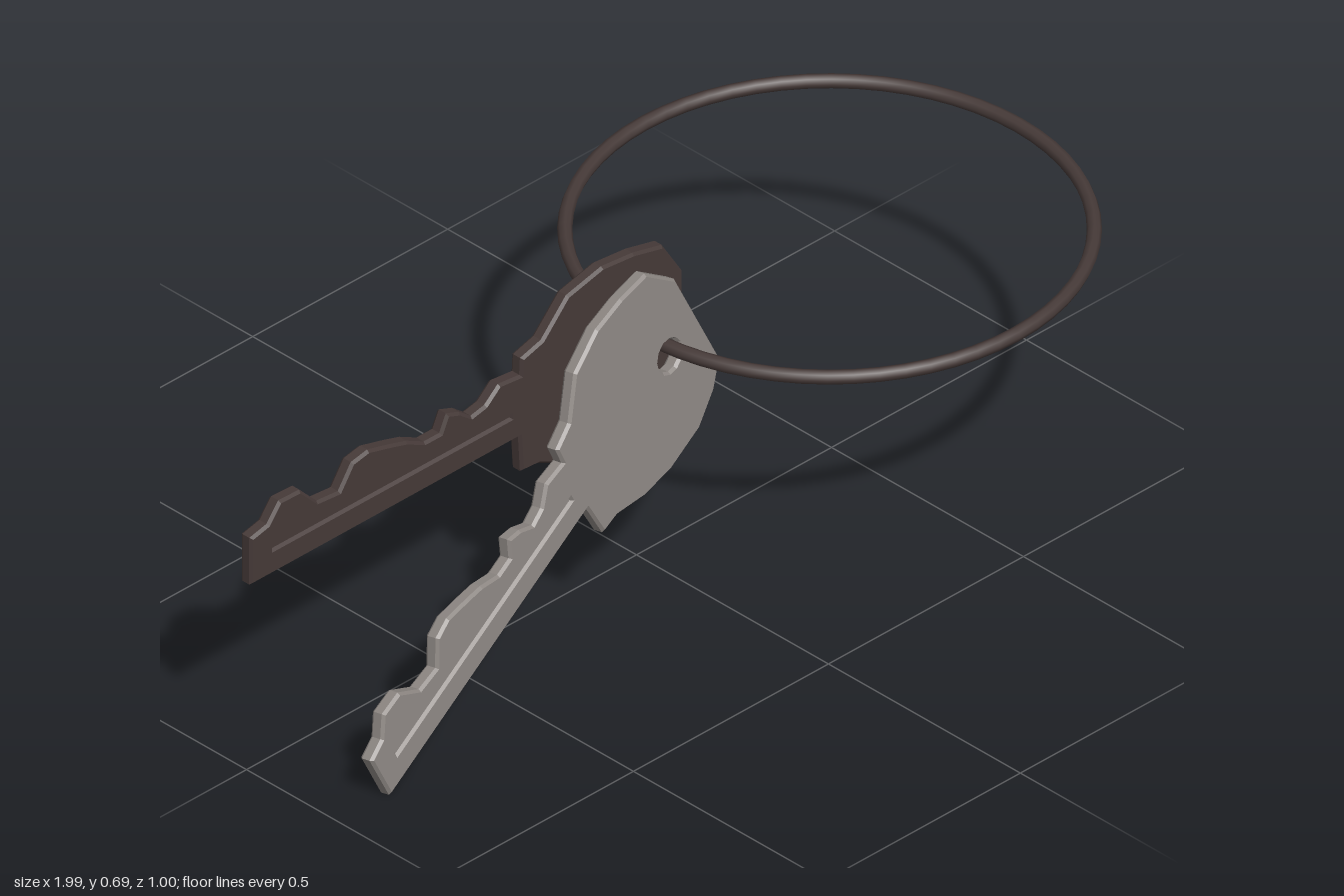
import * as THREE from 'three';

const dark = new THREE.MeshStandardMaterial({ color: 0x463a38 });
const light = new THREE.MeshStandardMaterial({ color: 0x8c8682 });

// key outline, measured from the hole: blade points to -x, teeth are up
const OUTLINE = [
  // underside of blade and head
  [-1.012, -0.049], [-0.323, -0.048], [-0.318, -0.127], [-0.274, -0.13], [-0.2, -0.165],
  [-0.12, -0.184], [-0.02, -0.184], [0.05, -0.155], [0.096, -0.116],
  // end and top of head
  [0.096, 0.12], [0.045, 0.2], [-0.03, 0.218], [-0.11, 0.226], [-0.2, 0.205],
  [-0.265, 0.137], [-0.318, 0.122],
  // teeth, from head to tip
  [-0.32, 0.086], [-0.375, 0.092], [-0.41, 0.062], [-0.445, 0.055], [-0.475, 0.078], [-0.508, 0.09],
  [-0.525, 0.055], [-0.565, 0.055], [-0.61, 0.078], [-0.65, 0.09], [-0.71, 0.106],
  [-0.752, 0.098], [-0.785, 0.05], [-0.84, 0.055], [-0.884, 0.1], [-0.938, 0.102],
  [-0.968, 0.064], [-1.012, 0.054],
].map(([x, y]) => new THREE.Vector2(x, y));

function keyShape(withGroove) {
  const shape = new THREE.Shape(OUTLINE);
  const hole = new THREE.Path();
  hole.absarc(0, 0.008, 0.032, 0, Math.PI * 2, true);
  shape.holes.push(hole);
  if (withGroove) {
    shape.holes.push(new THREE.Path([[-0.955, 0.004], [-0.955, 0.011], [-0.345, 0.011], [-0.345, 0.004]]
      .map(([x, y]) => new THREE.Vector2(x, y))));
  }
  return shape;
}

function makeKey(name, material) {
  const key = new THREE.Group();
  key.name = name;
  // solid core
  const core = new THREE.Mesh(new THREE.ExtrudeGeometry(keyShape(false),
    { depth: 0.018, bevelEnabled: false, curveSegments: 6 }), material);
  core.geometry.translate(0, 0, -0.009);
  core.name = 'keyCore';
  key.add(core);
  // bevelled faces with the long groove in the blade
  for (const side of [-1, 1]) {
    const face = new THREE.Mesh(new THREE.ExtrudeGeometry(keyShape(true), {
      depth: 0, bevelThickness: 0.006, bevelSize: 0.005, bevelOffset: -0.005,
      bevelSegments: 1, curveSegments: 6,
    }), material);
    face.position.z = side * 0.009;
    face.name = side > 0 ? 'keyFrontFace' : 'keyBackFace';
    key.add(face);
  }
  return key;
}

export function createModel() {
  const model = new THREE.Group();
  model.name = 'keysOnRing';

  // ring, lying flat
  const ring = new THREE.Mesh(new THREE.TorusGeometry(0.484, 0.014, 8, 64), dark);
  ring.rotation.x = Math.PI / 2;
  ring.position.set(0.495, 0.487, 0);
  ring.name = 'keyRing';
  model.add(ring);

  // upright key
  const darkKey = makeKey('darkKey', dark);
  darkKey.position.set(0.01, 0.465, 0);
  model.add(darkKey);

  // drooping key, leaning forward
  const lightKey = makeKey('lightKey', light);
  const normal = new THREE.Vector3(0.128, 0.124, 1).normalize();
  const along = new THREE.Vector3(0.909, 0.418, -0.168).normalize();
  const up = normal.clone().cross(along).normalize();
  along.crossVectors(up, normal);
  lightKey.quaternion.setFromRotationMatrix(new THREE.Matrix4().makeBasis(along, up, normal));
  lightKey.position.set(0.01, 0.465, 0.064);
  model.add(lightKey);

  return model;
}
